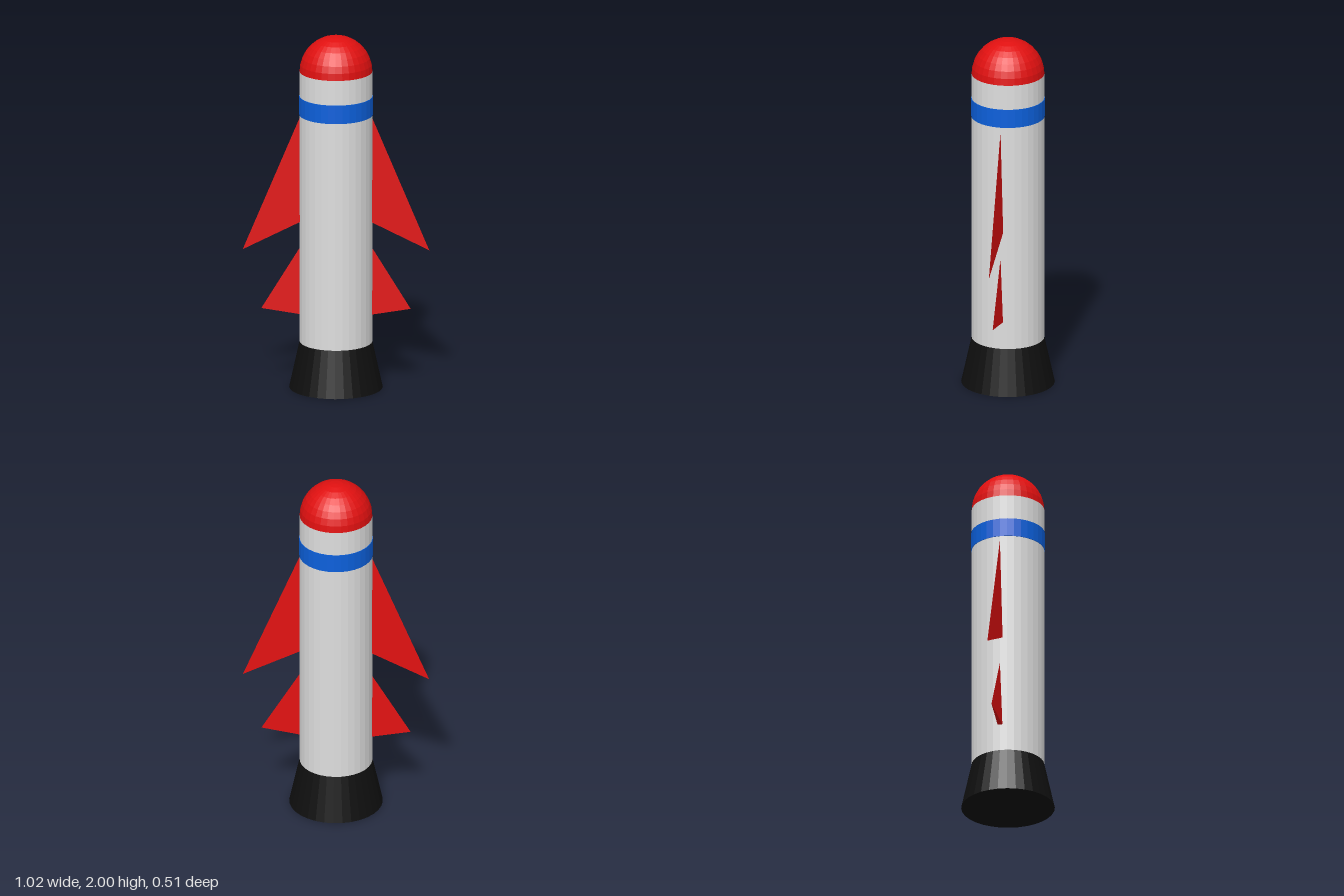
import * as THREE from 'three';

const SIDES = 32;

function material(name, color, flatShading = true) {
  const m = new THREE.MeshStandardMaterial({ color, flatShading });
  m.name = name;
  return m;
}

// Thin wedge fin: sharp leading edge and tip, thickest at the rear of the root
function finGeometry(side, rootTop, rootBottom, tipX, tipY, halfThickness) {
  const rootX = 0.19 * side;
  const top = [rootX, rootTop, 0];
  const tip = [tipX * side, tipY, 0];
  const front = [rootX, rootBottom, halfThickness * side];
  const back = [rootX, rootBottom, -halfThickness * side];
  const faces = [
    top, front, tip,
    top, tip, back,
    front, back, tip,
    top, back, front,
  ];
  const geometry = new THREE.BufferGeometry();
  geometry.setAttribute('position', new THREE.Float32BufferAttribute(faces.flat(), 3));
  geometry.computeVertexNormals();
  return geometry;
}

export function createModel() {
  const rocket = new THREE.Group();
  rocket.name = 'rocket';

  const white = material('bodyWhite', 0xdedede);
  const red = material('red', 0xe01010);
  const blue = material('bandBlue', 0x0c60dc);
  const black = material('nozzleBlack', 0x0f0f0f);

  const add = (name, geometry, mat, y = 0) => {
    const mesh = new THREE.Mesh(geometry, mat);
    mesh.name = name;
    mesh.position.y = y;
    rocket.add(mesh);
  };

  // Stacked round parts
  add('nozzle', new THREE.CylinderGeometry(0.2, 0.257, 0.26, SIDES), black, 0.13);
  add('body', new THREE.CylinderGeometry(0.2, 0.2, 1.54, SIDES), white, 1.03);
  add('band', new THREE.CylinderGeometry(0.203, 0.203, 0.105, SIDES), blue, 1.607);
  add('noseDome', new THREE.SphereGeometry(0.2, SIDES, 8, 0, Math.PI * 2, 0, Math.PI / 2), red, 1.8);

  // Large wings and small tail fins, one pair each
  for (const [label, side] of [['left', 1], ['right', -1]]) {
    add(label + 'Wing', finGeometry(side, 1.555, 0.945, 0.512, 0.78, 0.015), red);
    add(label + 'TailFin', finGeometry(side, 0.806, 0.414, 0.41, 0.445, 0.014), red);
  }

  return rocket;
}
